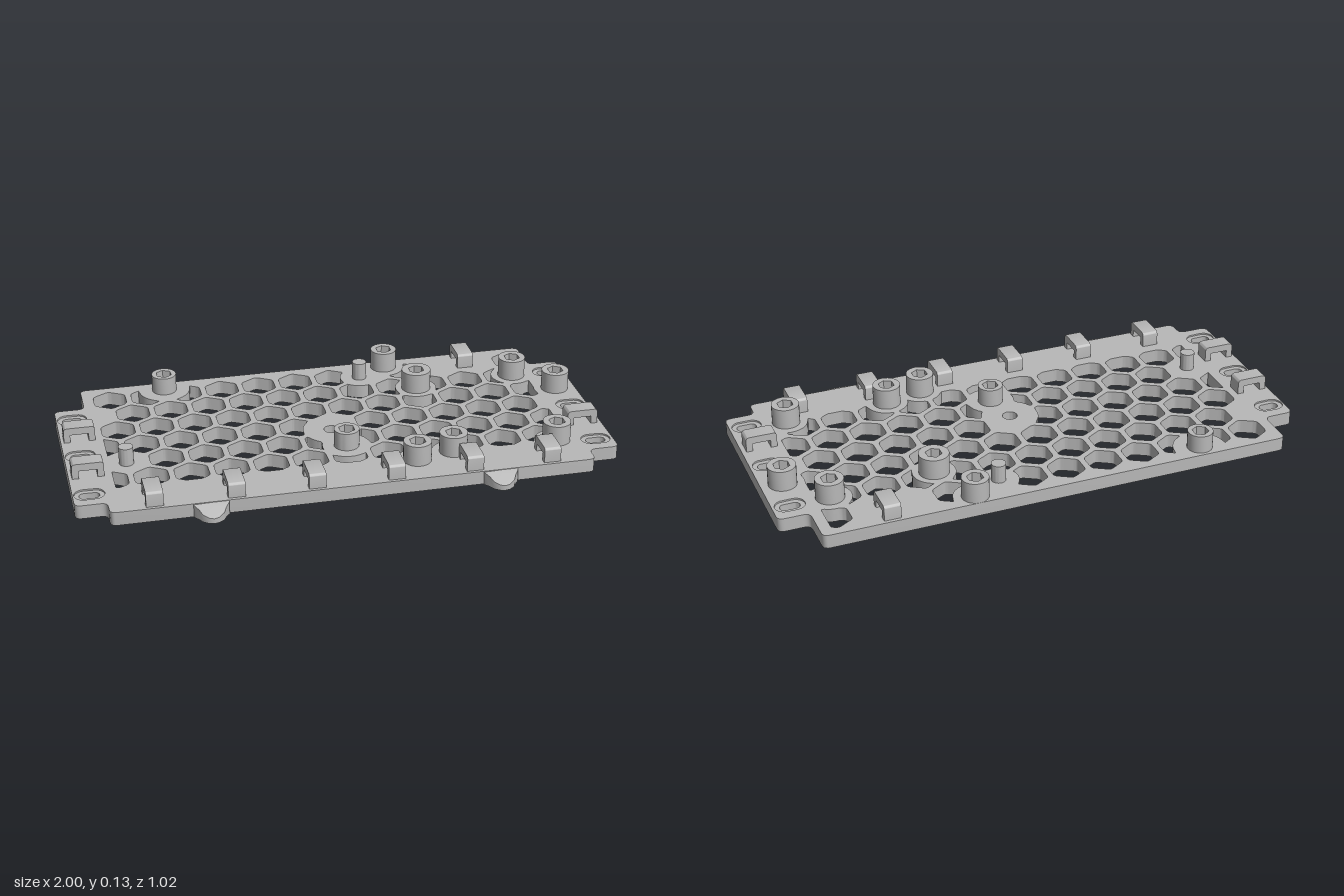
import * as THREE from 'three';
import { toCreasedNormals } from 'three/addons/utils/BufferGeometryUtils.js';

const T = 0.052; // plate thickness
const V = (x, z) => new THREE.Vector2(x, z);

// Screw bosses: x, z, outer radius, top height, radius kept free of hexagons
const BOSSES = [
  [-0.563, -0.452, 0.047, 0.12, 0.098], [0.315, -0.46, 0.05, 0.13, 0.08],
  [0.395, -0.256, 0.056, 0.13, 0.08], [0.79, -0.28, 0.052, 0.13, 0.08],
  [0.92, -0.134, 0.052, 0.13, 0.08], [0.79, 0.275, 0.052, 0.13, 0.08],
  [0.395, 0.275, 0.052, 0.13, 0.08], [0.25, 0.31, 0.052, 0.13, 0.08],
  [0.025, 0.144, 0.047, 0.12, 0.09],
];
const PINS = [[-0.783, 0.102], [0.2, -0.39]];
const CENTRE_HOLE = [-0.002, 0.011];
const SLOTS = [-0.278, 0.011, 0.3].flatMap(z => [[-0.94, z], [0.935, z]]);

// Extrude a plan outline (x, z) upward from y0 by h
function slab(outline, holes, h, y0 = 0) {
  const flip = pts => pts.map(p => V(p.x, -p.y)).reverse();
  const shape = new THREE.Shape(flip(outline));
  shape.holes = holes.map(p => new THREE.Path(flip(p)));
  const g = new THREE.ExtrudeGeometry(shape, { depth: h, bevelEnabled: false });
  g.rotateX(-Math.PI / 2).translate(0, y0, 0);
  return toCreasedNormals(g, 0.6);
}

function circle(x, z, r, n = 28, turn = 0) {
  return Array.from({ length: n }, (_, i) => {
    const a = (i + turn) / n * Math.PI * 2;
    return V(x + r * Math.cos(a), z + r * Math.sin(a));
  });
}

// Hexagon with a corner towards the back
const hexagon = (x, z, r) => circle(x, z, r, 6, 0.5);

// Stadium outline, long along x
function stadium(x, z, halfLength, r) {
  return circle(0, 0, r, 24).map((p, i) =>
    V(x + p.x + (i < 6 || i > 18 ? 1 : -1) * (halfLength - r), z + p.y));
}

// Round the corners of a closed outline
function rounded(pts, r, steps) {
  return pts.flatMap((p, i) => {
    const a = pts[(i + pts.length - 1) % pts.length], b = pts[(i + 1) % pts.length];
    const s = p.clone().add(a.clone().sub(p).setLength(r));
    const e = p.clone().add(b.clone().sub(p).setLength(r));
    return new THREE.QuadraticBezierCurve(s, p, e).getPoints(steps);
  });
}

// Add points so that no edge is longer than about 0.007
function subdivided(pts) {
  return pts.flatMap((p, i) => {
    const q = pts[(i + 1) % pts.length], n = Math.ceil(p.distanceTo(q) / 0.007);
    return Array.from({ length: n }, (_, j) => p.clone().lerp(q, j / n));
  });
}

// Remove a disc from an outline, giving the pieces that remain
function cutDisc(pts, [cx, cz, r]) {
  const out = pts.map(p => Math.hypot(p.x - cx, p.y - cz) > r);
  if (out.every(Boolean)) return [pts];
  const start = out.indexOf(false), runs = [];
  let run = [];
  for (let k = 1; k <= pts.length; k++) {
    const i = (start + k) % pts.length;
    if (out[i]) run.push(pts[i]);
    else if (run.length) { runs.push(run); run = []; }
  }
  return runs.filter(q => q.length > 3).map(q => {
    const ang = p => Math.atan2(p.y - cz, p.x - cx);
    const a0 = ang(q[q.length - 1]);
    let d = ang(q[0]) - a0;
    d = Math.atan2(Math.sin(d), Math.cos(d));
    const arc = [];
    for (let k = 1; k < 8; k++) {
      const a = a0 + d * k / 8;
      arc.push(V(cx + r * Math.cos(a), cz + r * Math.sin(a)));
    }
    return [...q, ...arc];
  });
}

// Honeycomb openings, clipped to the field and around bosses and pins
function honeycomb() {
  const discs = [...BOSSES.map(b => [b[0], b[1], b[4]]),
    ...PINS.map(p => [...p, 0.075]), [...CENTRE_HOLE, 0.107]];
  const solid = ['0,7', '0,9', '0,10', '1,0', '4,0']; // row, column left closed
  const holes = [];
  for (let row = 0; row < 6; row++) for (let col = 0; col < 12; col++) {
    const cx = -0.781 + (col - (row % 2) / 2) * 0.1455, cz = -0.406 + row * 0.1253;
    if (cx > 0.85 || solid.includes(row + ',' + col)) continue;
    const cell = subdivided(rounded(hexagon(cx, cz, 0.071), 0.012, 3));
    for (const p of cell) {
      p.x = THREE.MathUtils.clamp(p.x, -0.843, 0.843);
      p.y = Math.min(p.y, 0.275);
    }
    let pieces = [cell.filter((p, i) => p.distanceTo(cell[(i + 1) % cell.length]) > 1e-4)];
    for (const d of discs) pieces = pieces.flatMap(p => cutDisc(p, d));
    holes.push(...pieces.filter(p => Math.abs(THREE.ShapeUtils.area(p)) > 0.001));
  }
  return holes;
}

// Bridge-shaped clip, long along x, standing on the plate
function clipGeometry(length) {
  const h = length / 2, leg = 0.024, s = new THREE.Shape();
  s.moveTo(-h, 0);
  s.lineTo(-h, 0.045);
  s.quadraticCurveTo(-h, 0.06, -h + 0.015, 0.06);
  s.lineTo(h - 0.015, 0.06);
  s.quadraticCurveTo(h, 0.06, h, 0.045);
  s.lineTo(h, 0);
  s.lineTo(h - leg, 0);
  s.lineTo(h - leg, 0.032);
  s.lineTo(-h + leg, 0.032);
  s.lineTo(-h + leg, 0);
  const g = new THREE.ExtrudeGeometry(s, { depth: 0.062, bevelEnabled: false });
  g.translate(0, T - 0.002, -0.031);
  return toCreasedNormals(g, 0.6);
}

export function createModel() {
  const model = new THREE.Group();
  model.name = 'mountingPlate';
  const grey = new THREE.MeshStandardMaterial({ color: 0xb8b8b8 });
  grey.name = 'plasticGrey';
  const add = (name, geometry) => {
    const mesh = new THREE.Mesh(geometry, grey);
    mesh.name = name;
    model.add(mesh);
    return mesh;
  };

  // Plate with side wings
  const outline = rounded([
    V(-0.885, -0.51), V(0.885, -0.51), V(0.885, -0.355), V(1, -0.355),
    V(1, 0.375), V(0.885, 0.375), V(0.885, 0.448), V(-0.885, 0.448),
    V(-0.885, 0.375), V(-1, 0.375), V(-1, -0.355), V(-0.885, -0.355),
  ], 0.025, 5);
  add('plate', slab(outline, [
    ...honeycomb(),
    ...BOSSES.map(b => hexagon(b[0], b[1], 0.031)),
    circle(...CENTRE_HOLE, 0.028),
    ...SLOTS.map(s => stadium(...s, 0.055, 0.037)),
  ], T));

  // Stepped mounting slots in the wings
  for (const s of SLOTS) {
    add('slotRim', slab(stadium(...s, 0.0555, 0.0375), [stadium(...s, 0.037, 0.019)], 0.034, 0.012));
  }

  // Hollow screw bosses and solid locating pins
  for (const [x, z, r, top] of BOSSES) {
    add('screwBoss', slab(circle(x, z, r), [hexagon(x, z, 0.031)], top - T + 0.002, T - 0.002));
  }
  for (const [x, z] of PINS) {
    add('locatingPin', slab(circle(x, z, 0.027), [], 0.12 - T + 0.002, T - 0.002));
  }

  // Clips along the front edge, the back edge and the wings
  const clip = clipGeometry(0.116);
  for (let i = 0; i < 6; i++) {
    const m = add('frontClip', clip);
    m.position.set(-0.727 + i * 0.29, 0, 0.378);
    m.rotation.y = Math.PI / 2;
  }
  const back = add('backClip', clip);
  back.position.set(0.631, 0, -0.439);
  back.rotation.y = Math.PI / 2;
  for (const [x, z] of [[-0.93, -0.128], [-0.93, 0.15], [0.925, 0.15]]) {
    add('wingClip', clip).position.set(x, 0, z);
  }

  // Sloping rounded tabs at the front
  for (const x of [-0.53, 0.525]) {
    const tab = slab([
      V(x - 0.065, 0.44), V(x - 0.062, 0.455), V(x - 0.048, 0.472), V(x - 0.038, 0.491),
      V(x - 0.018, 0.506), V(x, 0.51), V(x + 0.018, 0.506), V(x + 0.038, 0.491),
      V(x + 0.048, 0.472), V(x + 0.062, 0.455), V(x + 0.065, 0.44),
    ], [], T);
    const p = tab.attributes.position;
    for (let i = 0; i < p.count; i++) {
      if (p.getY(i) > 0.01) p.setY(i, T - Math.max(0, p.getZ(i) - 0.448) * 0.53);
    }
    add('frontTab', toCreasedNormals(tab, 0.6));
  }
  return model;
}
